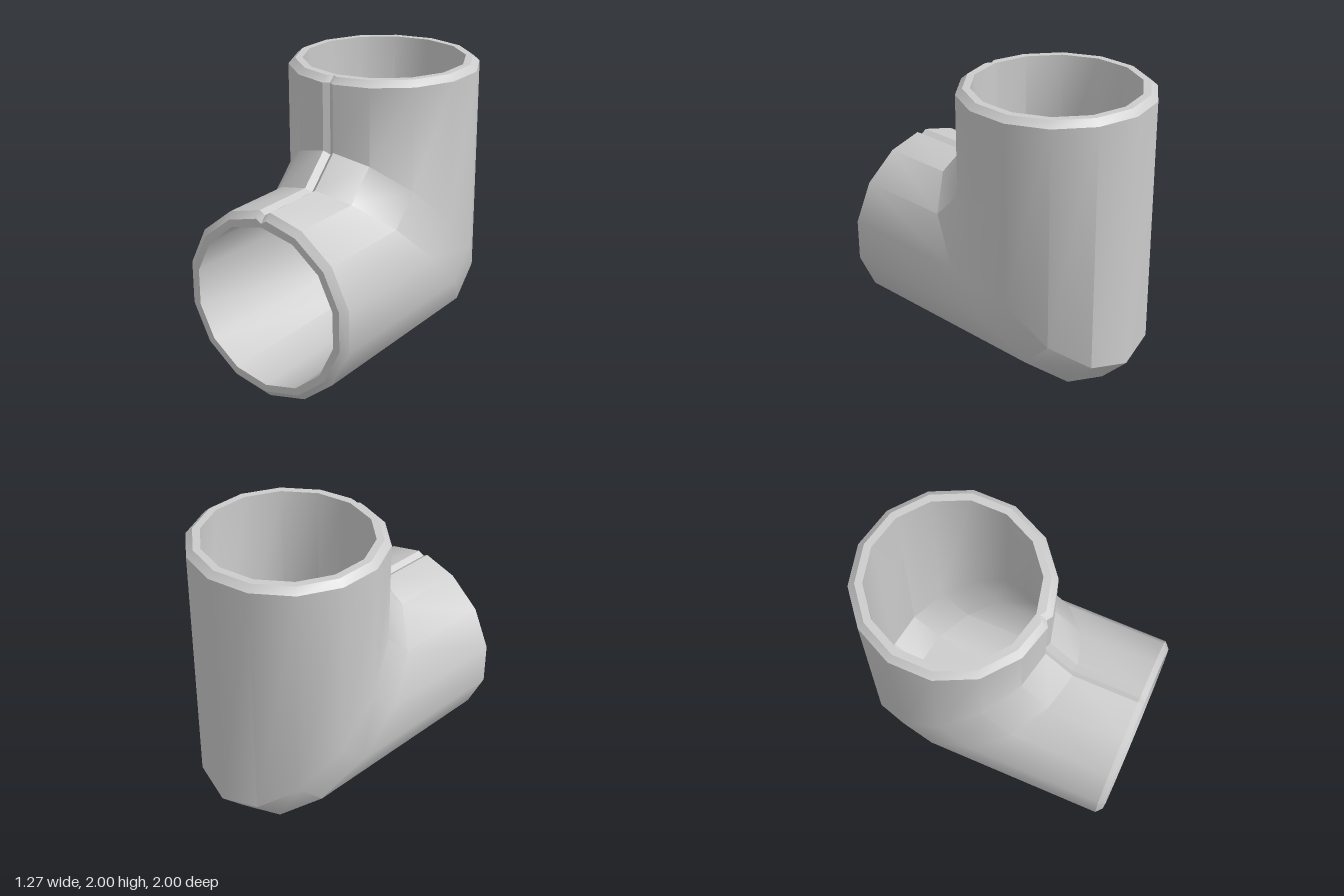
import * as THREE from 'three';
import { toCreasedNormals } from 'three/addons/utils/BufferGeometryUtils.js';

const SIDES = 14, OUTER = 0.65, EDGE = 0.605, INNER = 0.555;
const SEAM = 0.04, GROOVE = 0.025;

// Cross-section [x, c]: a 14-gon whose corner c = +r lies on the inside of the bend,
// split there by a narrow V groove of the given depth.
function section(r, groove) {
  const lip = groove > 0 ? r : r - SEAM * Math.tan(Math.PI / SIDES);
  const pts = [[0, r - groove], [SEAM, lip]];
  for (let k = 1; k < SIDES; k++) {
    const a = (k / SIDES) * Math.PI * 2;
    pts.push([r * Math.sin(a), r * Math.cos(a)]);
  }
  pts.push([-SEAM, lip]);
  return pts;
}

// Stations along the elbow: square cuts at the ends, 45 degree cuts at the bend
const upright = (y) => (x, c) => [x, y, c - 0.35];
const bendUpper = (x, c) => [x, 0.85 + c, c - 0.35];
const bendLower = (x, c) => [x, 0.65 + c, c - 0.15];
const forward = (z) => (x, c) => [x, 0.65 + c, z];

// Skins a row of rings given as [radius, groove, station]
function skin(name, rows, material) {
  const n = SIDES + 2, pos = [], idx = [];
  for (const [r, groove, place] of rows) {
    for (const [x, c] of section(r, groove)) pos.push(...place(x, c));
  }
  for (let i = 0; i < rows.length - 1; i++) {
    for (let k = 0; k < n; k++) {
      const a = i * n + k, b = i * n + ((k + 1) % n);
      idx.push(a, a + n, b, b, a + n, b + n);
    }
  }
  const g = new THREE.BufferGeometry();
  g.setAttribute('position', new THREE.Float32BufferAttribute(pos, 3));
  g.setIndex(idx);
  const mesh = new THREE.Mesh(toCreasedNormals(g, 0.6), material);
  mesh.name = name;
  return mesh;
}

export function createModel() {
  const group = new THREE.Group();
  group.name = 'pipeElbow';
  const mat = new THREE.MeshStandardMaterial({ color: 0xcccccc });

  group.add(
    // Outside wall with the seam groove
    skin('outerShell', [
      [OUTER, GROOVE, upright(1.96)],
      [OUTER, GROOVE, bendUpper],
      [OUTER, GROOVE, bendLower],
      [OUTER, GROOVE, forward(0.96)],
    ], mat),
    // Flat and chamfered lips of the two openings
    skin('topRim', [
      [INNER, 0, upright(2)],
      [EDGE, GROOVE, upright(2)],
      [OUTER, GROOVE, upright(1.96)],
    ], mat),
    skin('frontRim', [
      [OUTER, GROOVE, forward(0.96)],
      [EDGE, GROOVE, forward(1)],
      [INNER, 0, forward(1)],
    ], mat),
    // Inside wall, run in reverse so that it faces inward
    skin('bore', [
      [INNER, 0, forward(1)],
      [INNER, 0, bendLower],
      [INNER, 0, bendUpper],
      [INNER, 0, upright(2)],
    ], mat),
  );
  return group;
}
